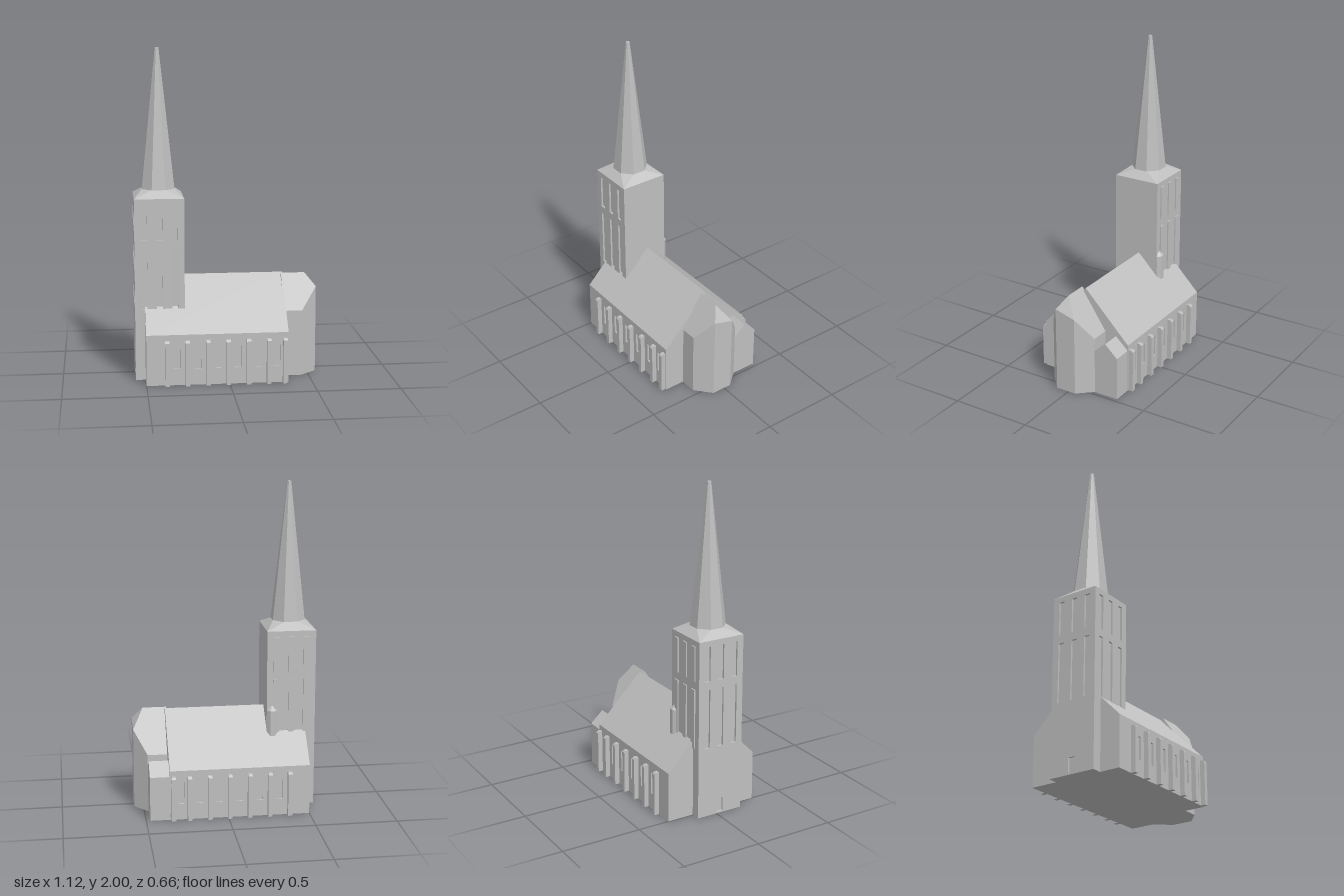
import * as THREE from 'three';
import { ConvexGeometry } from 'three/addons/geometries/ConvexGeometry.js';

const DEPTH = 0.012; // depth of window niches

export function createModel() {
  const church = new THREE.Group();
  church.name = 'church';
  const stone = new THREE.MeshStandardMaterial({ color: 0xbfbfbf });
  stone.name = 'stone grey';

  const add = (name, geometry, x = 0, y = 0, z = 0, turn = 0) => {
    const mesh = new THREE.Mesh(geometry, stone);
    mesh.name = name;
    mesh.position.set(x, y, z);
    mesh.rotation.y = turn;
    church.add(mesh);
    return mesh;
  };
  const box = (name, x0, x1, y0, y1, z0, z1) =>
    add(name, new THREE.BoxGeometry(x1 - x0, y1 - y0, z1 - z0), (x0 + x1) / 2, (y0 + y1) / 2, (z0 + z1) / 2);
  const outline = (points) => new THREE.Shape(points.map(([x, y]) => new THREE.Vector2(x, y)));
  const extrude = (shape, depth) => new THREE.ExtrudeGeometry(shape, { depth, bevelEnabled: false });
  // profile given as [z, y], extruded along x from x0 to x1
  const alongX = (name, points, x0, x1) =>
    add(name, extrude(outline(points.map(([z, y]) => [-z, y]).reverse()), x1 - x0), x0, 0, 0, Math.PI / 2);
  // thin wall with rectangular openings [centre, bottom, width, height]
  const wall = (x0, x1, height, holes) => {
    const shape = outline([[x0, 0], [x1, 0], [x1, height], [x0, height]]);
    for (const [c, y, w, h] of holes) {
      shape.holes.push(new THREE.Path([[c - w / 2, y], [c - w / 2, y + h], [c + w / 2, y + h], [c + w / 2, y]]
        .map(([a, b]) => new THREE.Vector2(a, b))));
    }
    return extrude(shape, DEPTH);
  };

  // Nave with pitched roof
  const inner = 0.3 - DEPTH;
  alongX('nave', [[-inner, 0], [inner, 0], [inner, 0.31], [0.3, 0.31], [0, 0.615], [-0.3, 0.31], [-inner, 0.31]], -0.5, 0.355);

  // Side walls with a window in each bay, and buttresses
  const piers = [-0.376, -0.254, -0.131, -0.009, 0.113, 0.236, 0.334];
  const bays = piers.slice(1).map((x, i) => (x + piers[i]) / 2);
  add('naveFrontWall', wall(-0.5, 0.355, 0.31, bays.map((x) => [x, 0.1, 0.04, 0.135])), 0, 0, inner);
  add('naveBackWall', wall(-0.355, 0.5, 0.31, bays.map((x) => [-x, 0.1, 0.04, 0.135])), 0, 0, -inner, Math.PI);
  for (const x of piers) {
    for (const s of [1, -1]) {
      const profile = [[0.29, 0], [0.33, 0], [0.33, 0.265], [0.32, 0.276], [0.29, 0.276]].map(([z, y]) => [s * z, y]);
      alongX('buttress', s > 0 ? profile : profile.reverse(), x - 0.013, x + 0.013);
    }
  }

  // Apse: five-sided plan under a hipped roof
  const ridgeZ = 0.03;
  const apse = [[0.49, 0.615, ridgeZ], [0.345, 0.615, ridgeZ]];
  for (const [x, z] of [[0.345, 0.17], [0.457, 0.17], [0.555, 0.083], [0.555, -0.048], [0.475, -0.14], [0.345, -0.14]]) {
    apse.push([x, 0, z], [x, 0.615 - 1.48 * Math.abs(z - ridgeZ), z]);
  }
  add('apse', new ConvexGeometry(apse.map((p) => new THREE.Vector3(...p))));

  // Sacristy beside the apse
  alongX('sacristy', [[-0.298, 0], [-0.13, 0], [-0.13, 0.272], [-0.215, 0.35], [-0.298, 0.274]], 0.35, 0.475);

  // Tower with niches on the front and west faces
  const [x0, x1, z0, z1, top] = [-0.56, -0.26, -0.13, 0.172, 1.11];
  const cx = -0.41, cz = 0.021;
  const offsets = [-0.092, 0, 0.092];
  const niches = (c) => offsets.flatMap((d) => [[c + d, 0.44, 0.036, 0.37], [c + d, 0.86, 0.036, 0.215]]);
  box('towerCore', x0 + DEPTH, x1, 0, top, z0, z1 - DEPTH);
  add('towerFrontWall', wall(x0, x1, top, niches(cx)), 0, 0, z1 - DEPTH);
  add('towerWestWall', wall(z0, z1 - DEPTH, top, [...niches(cz), [cz, 0.01, 0.045, 0.09]]), x0 + DEPTH, 0, 0, -Math.PI / 2);
  for (const d of offsets) {
    box('backTowerWindow', cx + d - 0.018, cx + d + 0.018, 0.44, 0.81, z0 - 0.008, z0 + 0.001);
    box('backTowerWindow', cx + d - 0.018, cx + d + 0.018, 0.86, 1.075, z0 - 0.008, z0 + 0.001);
  }

  // Cap from square tower to octagonal spire
  const cap = [];
  for (const x of [x0, x1]) for (const z of [z0, z1]) cap.push(new THREE.Vector3(x, top, z));
  for (let i = 0; i < 8; i++) {
    const a = (i + 0.5) * Math.PI / 4;
    cap.push(new THREE.Vector3(cx + 0.107 * Math.cos(a), 1.155, cz + 0.107 * Math.sin(a)));
  }
  add('towerCap', new ConvexGeometry(cap));

  // Faceted cylinder, octagonal with flats facing the axes
  const octagon = (name, rTop, rBottom, y0, y1, x, z) =>
    add(name, new THREE.CylinderGeometry(rTop, rBottom, y1 - y0, 8).toNonIndexed(), x, (y0 + y1) / 2, z, Math.PI / 8)
      .geometry.computeVertexNormals();
  octagon('spire', 0.012, 0.107, 1.155, 2, cx, cz);

  // Stair turret behind the tower
  octagon('stairTurret', 0.036, 0.036, 0.3, 0.615, -0.294, -0.122);
  octagon('stairTurretRoof', 0.002, 0.036, 0.615, 0.65, -0.294, -0.122);

  return church;
}
